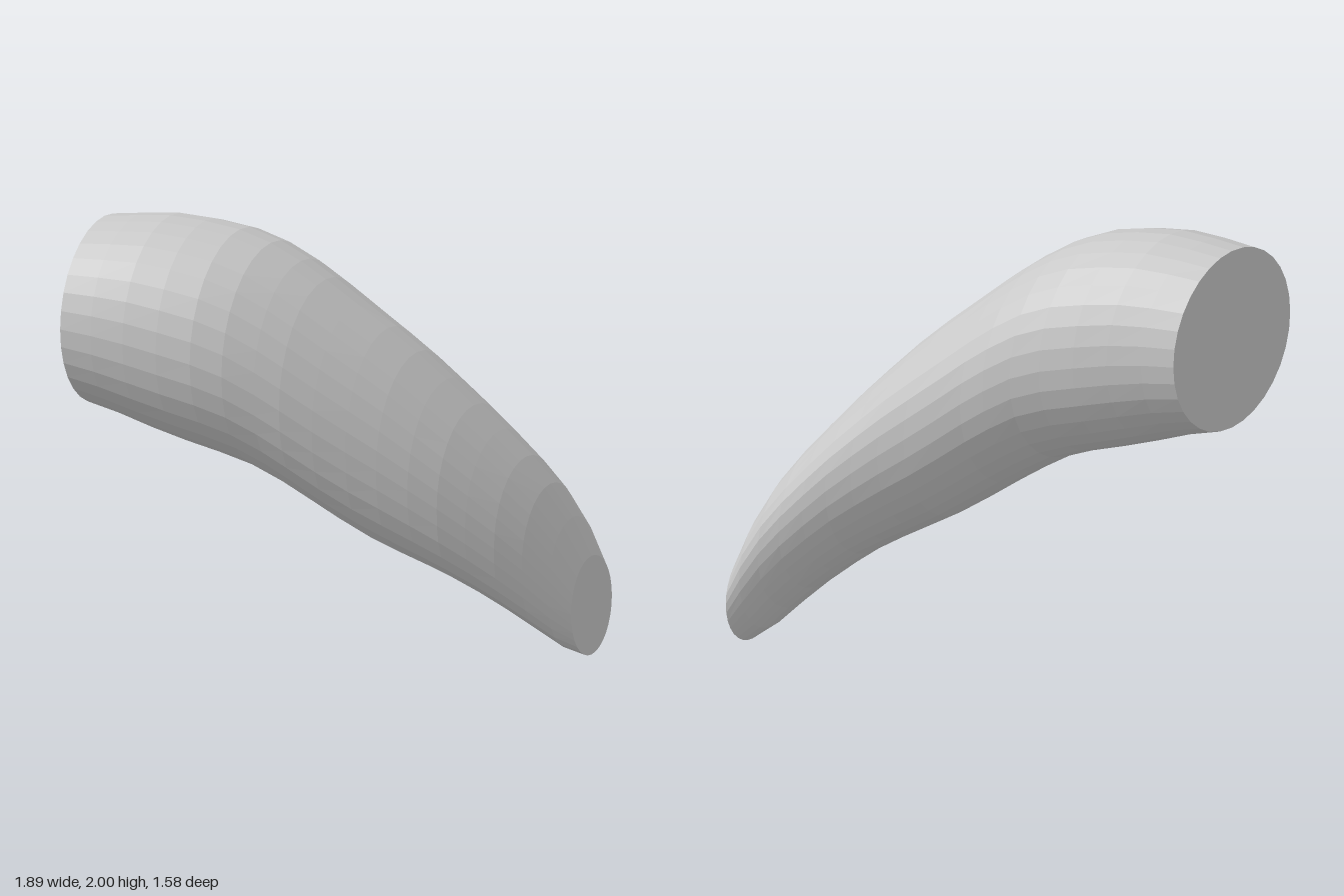
import * as THREE from 'three';

// Cross-sections along x: [x, bottom y, top y, back z, front z, lower-front fullness]
const SECTIONS = [
  [-0.945, 1.145, 1.975, -0.045, 0.79, 2],
  [-0.8, 1.105, 1.99, -0.09, 0.785, 2],
  [-0.65, 1.05, 2.0, -0.14, 0.77, 2],
  [-0.5, 1.0, 1.985, -0.19, 0.745, 2],
  [-0.35, 0.955, 1.955, -0.235, 0.71, 2],
  [-0.22, 0.905, 1.9, -0.275, 0.66, 2],
  [-0.1, 0.83, 1.82, -0.315, 0.595, 2],
  [0.0, 0.76, 1.74, -0.345, 0.54, 2.05],
  [0.12, 0.67, 1.63, -0.39, 0.46, 2.15],
  [0.24, 0.585, 1.52, -0.435, 0.375, 2.25],
  [0.35, 0.52, 1.41, -0.48, 0.295, 2.35],
  [0.46, 0.455, 1.285, -0.53, 0.21, 2.4],
  [0.56, 0.39, 1.165, -0.58, 0.125, 2.45],
  [0.65, 0.315, 1.045, -0.63, 0.03, 2.45],
  [0.74, 0.23, 0.92, -0.68, -0.07, 2.45],
  [0.82, 0.14, 0.79, -0.725, -0.175, 2.4],
  [0.89, 0.05, 0.63, -0.765, -0.29, 2.25],
  [0.945, 0.0, 0.445, -0.79, -0.405, 2],
];
const SIDES = 32;

// One point on an oval section; the lower front quarter may be fuller
function sectionPoint([x, y0, y1, z0, z1, fullness], j) {
  const t = (j / SIDES) * Math.PI * 2;
  const c = Math.cos(t), s = Math.sin(t);
  const p = c < 0 && s > 0 ? fullness : 2;
  const k = Math.pow(Math.pow(Math.abs(c), p) + Math.pow(Math.abs(s), p), -1 / p);
  return [x, (y0 + y1) / 2 + (c * k * (y1 - y0)) / 2, (z0 + z1) / 2 + (s * k * (z1 - z0)) / 2];
}

function geometryFrom(positions, indices) {
  const g = new THREE.BufferGeometry();
  g.setAttribute('position', new THREE.Float32BufferAttribute(positions, 3));
  g.setIndex(indices);
  const flat = g.toNonIndexed();
  flat.computeVertexNormals();
  return flat;
}

// Skin joining neighbouring sections
function skinGeometry() {
  const positions = [], indices = [];
  SECTIONS.forEach((section, i) => {
    for (let j = 0; j < SIDES; j++) {
      positions.push(...sectionPoint(section, j));
      if (i === SECTIONS.length - 1) continue;
      const a = i * SIDES + j, b = i * SIDES + ((j + 1) % SIDES);
      indices.push(a, b, a + SIDES, b, b + SIDES, a + SIDES);
    }
  });
  return geometryFrom(positions, indices);
}

// Flat disc closing one end
function capGeometry(section, facesRight) {
  const [x, y0, y1, z0, z1] = section;
  const positions = [x, (y0 + y1) / 2, (z0 + z1) / 2], indices = [];
  for (let j = 0; j < SIDES; j++) {
    positions.push(...sectionPoint(section, j));
    const a = j + 1, b = ((j + 1) % SIDES) + 1;
    if (facesRight) indices.push(0, a, b);
    else indices.push(0, b, a);
  }
  return geometryFrom(positions, indices);
}

export function createModel() {
  const grey = new THREE.MeshStandardMaterial({ color: 0xc8c8c8 });
  grey.name = 'light grey';
  grey.flatShading = true;

  const group = new THREE.Group();
  group.name = 'curvedTaperedLimb';
  const add = (name, geometry) => {
    const mesh = new THREE.Mesh(geometry, grey);
    mesh.name = name;
    group.add(mesh);
  };
  add('limbSkin', skinGeometry());
  add('wideEndCap', capGeometry(SECTIONS[0], false));
  add('narrowEndCap', capGeometry(SECTIONS[SECTIONS.length - 1], true));
  return group;
}
